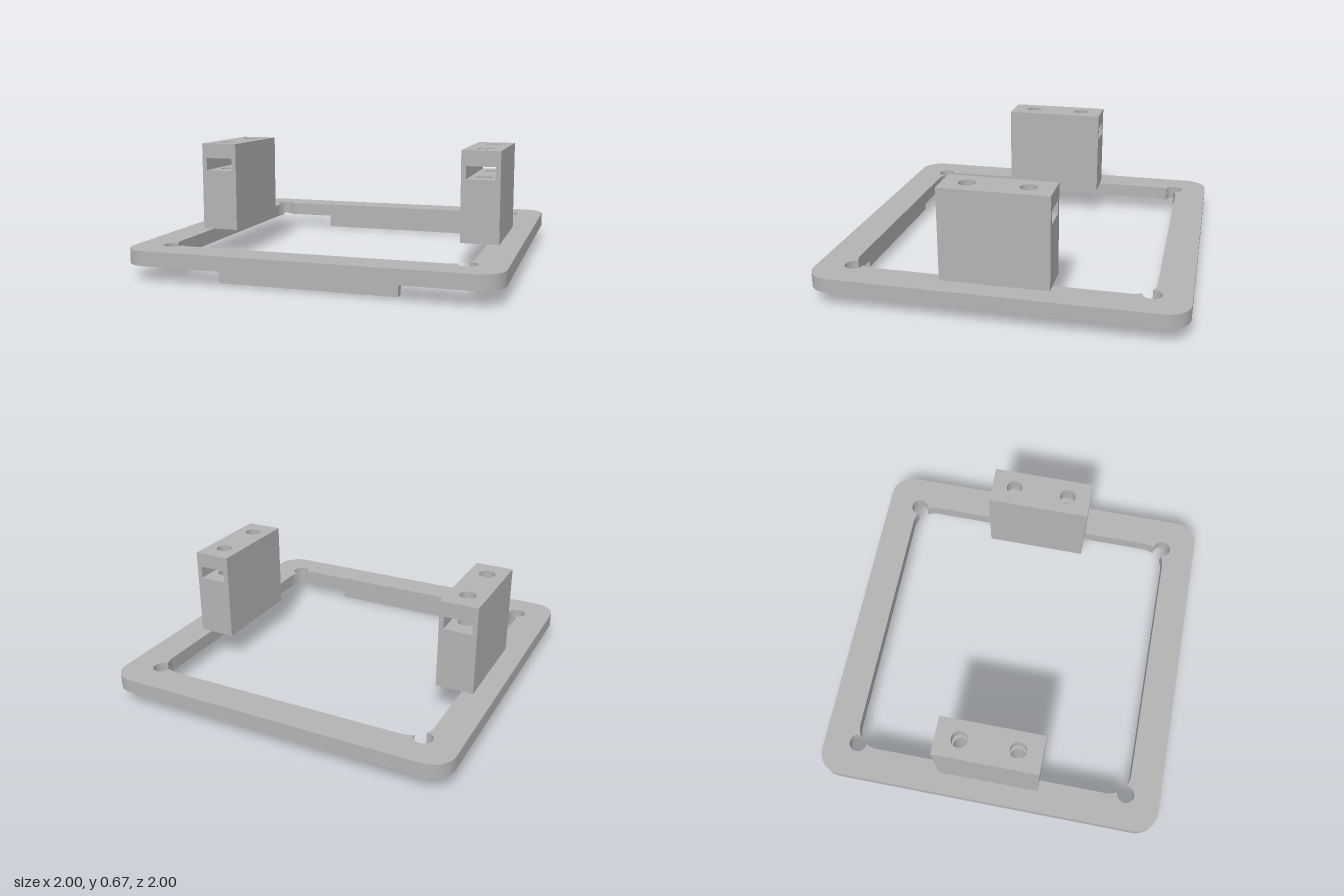
import * as THREE from 'three';

const grey = new THREE.MeshStandardMaterial({ color: 0xb3b3b3 });
grey.name = 'grey plastic';

// extrude a plan-view shape upwards from y0 to y1
function slab(name, shape, y0, y1) {
  const g = new THREE.ExtrudeGeometry(shape, { depth: y1 - y0, bevelEnabled: false, curveSegments: 24 });
  g.rotateX(-Math.PI / 2);
  g.translate(0, y0, 0);
  const m = new THREE.Mesh(g, grey);
  m.name = name;
  return m;
}

function box(name, x0, x1, y0, y1, z0, z1) {
  const m = new THREE.Mesh(new THREE.BoxGeometry(x1 - x0, y1 - y0, z1 - z0), grey);
  m.position.set((x0 + x1) / 2, (y0 + y1) / 2, (z0 + z1) / 2);
  m.name = name;
  return m;
}

// outline made of the same list of arcs [cx, cy, radius, from, to] at all four corners
function fourCorners(path, arcs) {
  for (let k = 0; k < 4; k++) {
    const t = k * Math.PI / 2, c = Math.cos(t), s = Math.sin(t);
    for (const [x, y, r, a, b] of arcs) {
      path.absarc(x * c - y * s, x * s + y * c, r, a + t, b + t, false);
    }
  }
  path.closePath();
  return path;
}

function createFrame() {
  const R = 0.13, edge = 0.815, hole = 0.8, hr = 0.05;
  const outline = fourCorners(new THREE.Shape(), [[1 - R, 1 - R, R, 0, Math.PI / 2]]);

  // rounded opening with a round relief biting into each corner
  const c = edge - R, d = (hole - c) * Math.SQRT2;
  const a = (R * R - hr * hr + d * d) / (2 * d);
  const h = Math.sqrt(R * R - a * a);
  const t = Math.PI / 4 - Math.atan2(h, a);
  const u = Math.atan2(h, a - d);
  const q = Math.PI / 4;
  outline.holes.push(fourCorners(new THREE.Path(), [
    [c, c, R, 0, t],
    [hole, hole, hr, q - u, q + u],
    [c, c, R, Math.PI / 2 - t, Math.PI / 2],
  ]));
  return slab('frame', outline, 0.083, 0.163);
}

// upright block with a slot through it and two screw holes from above
function createPost(side) {
  const w = 0.107, d = 0.294, slot = 0.08;
  const post = new THREE.Group();
  post.name = side > 0 ? 'leftPost' : 'rightPost';
  post.position.x = side * 0.773;

  const plan = new THREE.Shape();
  plan.moveTo(-w, -d).lineTo(w, -d).lineTo(w, d).lineTo(-w, d).closePath();
  for (const z of [-0.16, 0.16]) {
    plan.holes.push(new THREE.Path().absarc(0, z, 0.046, 0, Math.PI * 2, true));
  }
  post.add(
    box('postBase', -w, w, 0.163, 0.26, -d, d),
    slab('postBody', plan, 0.26, 0.513),
    box('slotWall', -w, -slot, 0.513, 0.585, -d, d),
    box('slotWall', slot, w, 0.513, 0.585, -d, d),
    slab('postTop', plan, 0.585, 0.671),
  );
  return post;
}

export function createModel() {
  const model = new THREE.Group();
  model.name = 'mountingFrame';
  model.add(createFrame(), createPost(1), createPost(-1));
  // locating rails under the front and back bars
  model.add(
    box('frontRail', -0.48, 0.48, 0, 0.083, 0.856, 0.908),
    box('backRail', -0.48, 0.48, 0, 0.083, -0.908, -0.856),
  );
  return model;
}
